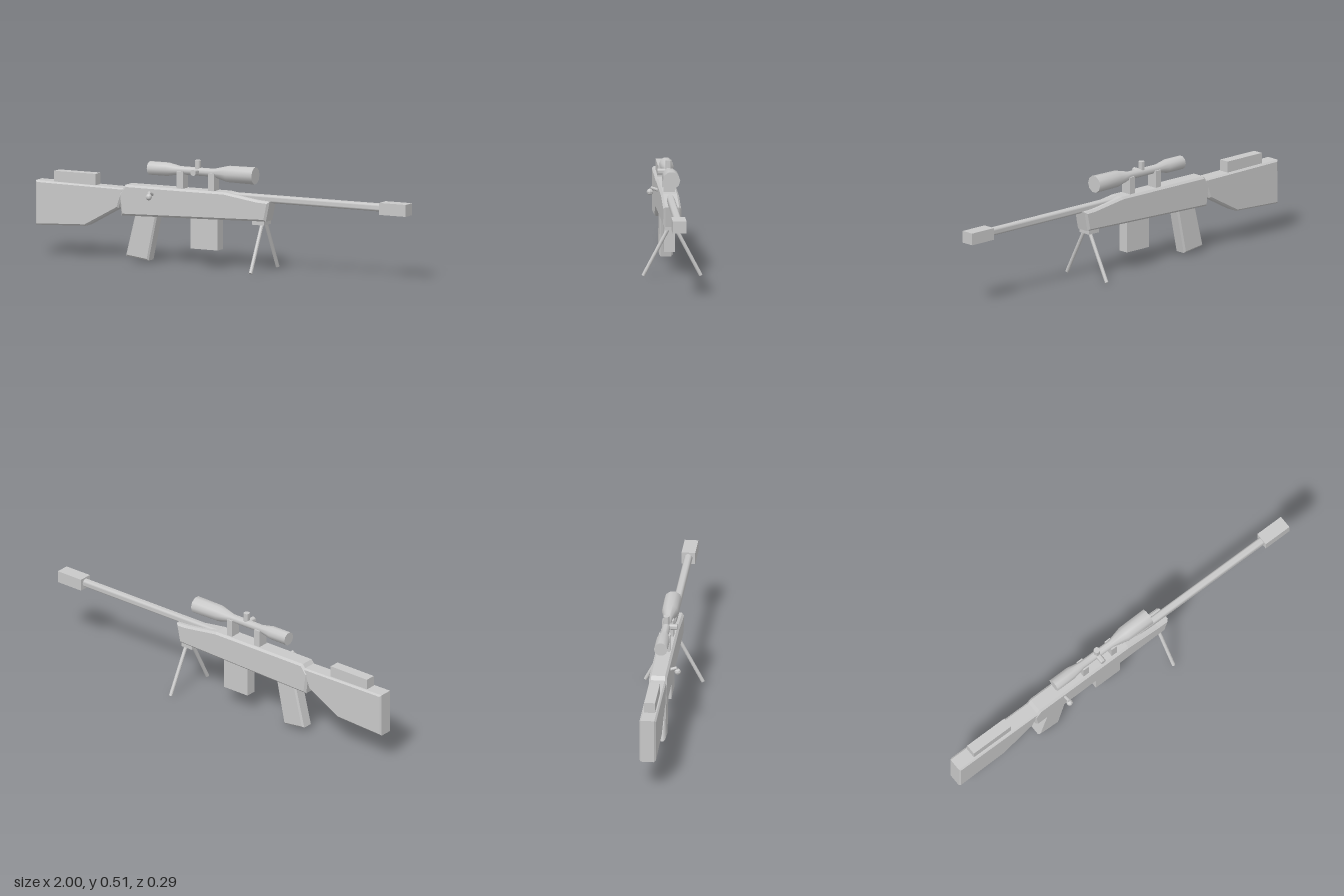
import * as THREE from 'three';
import { toCreasedNormals } from 'three/addons/utils/BufferGeometryUtils.js';

export function createModel() {
  const model = new THREE.Group();
  const grey = new THREE.MeshStandardMaterial({ color: 0xc8c8c8 });
  grey.name = 'light grey';

  function add(name, geometry) {
    const mesh = new THREE.Mesh(geometry, grey);
    mesh.name = name;
    model.add(mesh);
    return mesh;
  }

  // Box given by its limits in x and y and its half width in z
  function box(name, x0, x1, y0, y1, halfZ) {
    add(name, new THREE.BoxGeometry(x1 - x0, y1 - y0, halfZ * 2))
      .position.set((x0 + x1) / 2, (y0 + y1) / 2, 0);
  }

  // Side profile with chamfered edges, centred on z = 0
  function slab(name, points, halfZ, bevel) {
    const shape = new THREE.Shape(points.map(([x, y]) => new THREE.Vector2(x, y)));
    const geometry = new THREE.ExtrudeGeometry(shape, {
      depth: 2 * (halfZ - bevel), bevelEnabled: true, bevelSegments: 1,
      bevelSize: bevel, bevelThickness: bevel, bevelOffset: -bevel,
    });
    add(name, geometry.translate(0, 0, bevel - halfZ));
  }

  // Cylinder between two points
  function rod(name, from, to, radius, sides = 16) {
    const a = new THREE.Vector3(...from), b = new THREE.Vector3(...to);
    const geometry = new THREE.CylinderGeometry(radius, radius, a.distanceTo(b), sides);
    const mesh = add(name, toCreasedNormals(geometry, 0.8));
    mesh.position.copy(a).lerp(b, 0.5);
    mesh.quaternion.setFromUnitVectors(new THREE.Vector3(0, 1, 0), b.sub(a).normalize());
  }

  // Main body, stock and grip
  slab('receiver', [[-0.535, 0.22], [0.244, 0.243], [0.264, 0.34], [0.2, 0.344],
    [0.02, 0.37], [-0.514, 0.37], [-0.549, 0.325]], 0.043, 0.01);
  slab('stock', [[-1, 0.143], [-0.73, 0.156], [-0.553, 0.254], [-0.52, 0.352], [-1, 0.359]], 0.04, 0.008);
  slab('grip', [[-0.516, 0.026], [-0.394, 0.01], [-0.344, 0.25], [-0.46, 0.25]], 0.033, 0.008);
  box('cheekRest', -0.904, -0.68, 0.35, 0.409, 0.026);
  box('magazine', -0.166, -0.02, 0.085, 0.25, 0.026);

  // Barrel and muzzle
  rod('barrel', [0, 0.35, 0], [0.87, 0.35, 0], 0.02);
  box('muzzle', 0.857, 1, 0.319, 0.377, 0.033);

  // Scope turned around the x axis
  const scopeProfile = [[0, -0.4], [0.033, -0.4], [0.033, -0.3], [0.02, -0.235],
    [0.02, -0.055], [0.04, 0.025], [0.042, 0.17], [0, 0.17]]
    .map(([r, x]) => new THREE.Vector2(r, x));
  const scope = add('scope', toCreasedNormals(new THREE.LatheGeometry(scopeProfile, 10), 0.8));
  scope.rotation.z = -Math.PI / 2;
  scope.position.y = 0.455;
  box('rearScopeMount', -0.241, -0.208, 0.36, 0.453, 0.0275);
  box('frontScopeMount', -0.071, -0.04, 0.36, 0.453, 0.0275);
  rod('topTurret', [-0.14, 0.455, 0], [-0.14, 0.51, 0], 0.015);
  rod('sideTurret', [-0.14, 0.455, 0], [-0.14, 0.455, 0.052], 0.0145);

  // Bolt handle rising outward from the front side, with a faceted knob
  rod('boltHandle', [-0.365, 0.328, 0.02], [-0.365, 0.346, 0.075], 0.008);
  add('boltKnob', toCreasedNormals(new THREE.SphereGeometry(0.016, 8, 6), 0.1))
    .position.set(-0.365, 0.326, 0.078);

  // Folding support under the fore end
  box('bipodBracket', 0.17, 0.235, 0.224, 0.26, 0.034);
  for (const side of [1, -1]) {
    rod(side > 0 ? 'frontBipodLeg' : 'backBipodLeg',
      [0.217, 0.235, side * 0.016], [0.217, 0.0045, side * 0.138], 0.009);
  }
  return model;
}
